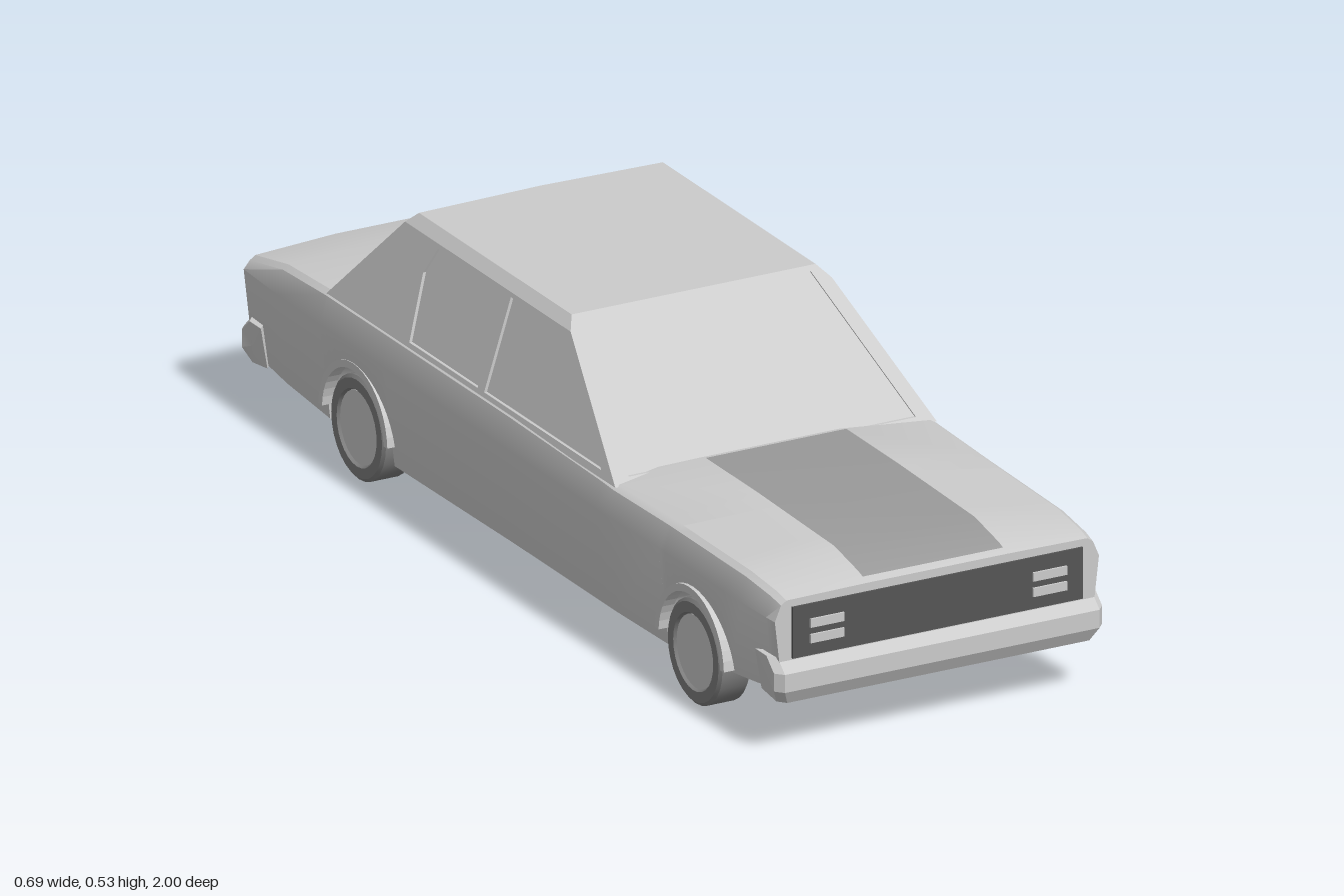
import * as THREE from 'three';
import { toCreasedNormals } from 'three/addons/utils/BufferGeometryUtils.js';

const mat = (color = 0xcccccc) => new THREE.MeshStandardMaterial({ color, side: THREE.DoubleSide });
const GREY = mat(), DARK = mat(0x555555), STRIPE = mat(0x999999), TYRE = mat(0x808080);
const RED = mat(0xcc2222), AMBER = mat(0xcc8811);
const lerp = THREE.MathUtils.lerp;

function add(parent, name, geometry, material = GREY, x = 0, y = 0, z = 0) {
  const mesh = new THREE.Mesh(geometry, material);
  mesh.name = name;
  mesh.position.set(x, y, z);
  parent.add(mesh);
  return mesh;
}

// Skin between successive rings of [x, y, z] points, with optional end caps
function skin(rings, capped = false, crease = 0.5) {
  const pos = [];
  const tri = (...p) => p.forEach((q) => pos.push(...q));
  for (let i = 0; i < rings.length - 1; i++) {
    for (let j = 0; j < rings[i].length - 1; j++) {
      const a = rings[i][j], b = rings[i][j + 1], c = rings[i + 1][j + 1], d = rings[i + 1][j];
      tri(a, d, c);
      tri(a, c, b);
    }
  }
  if (capped) {
    [rings[0], rings[rings.length - 1]].forEach((r, end) => {
      const mid = [0, 1, 2].map((k) => r.reduce((s, p) => s + p[k], 0) / r.length);
      for (let j = 0; j < r.length - 1; j++) end ? tri(mid, r[j + 1], r[j]) : tri(mid, r[j], r[j + 1]);
    });
  }
  const g = new THREE.BufferGeometry();
  g.setAttribute('position', new THREE.Float32BufferAttribute(pos, 3));
  return toCreasedNormals(g, crease);
}

// Body stations: z, floor, sill, deck edge, deck centre, width factor
const STATIONS = [
  [0.98, 0.13, 0.14, 0.3, 0.302, 0.965],
  [0.95, 0.115, 0.12, 0.307, 0.312, 0.97],
  [0.86, 0.1, 0.108, 0.316, 0.33, 0.98],
  [0.58, 0.055, 0.07, 0.318, 0.335, 0.985],
  [0.38, 0.055, 0.07, 0.318, 0.335, 1],
  [0.34, 0.055, 0.07, 0.32, 0.322, 1],
  [0, 0.05, 0.07, 0.325, 0.325, 1],
  [-0.47, 0.045, 0.065, 0.325, 0.328, 1],
  [-0.68, 0.06, 0.075, 0.325, 0.33, 1],
  [-0.85, 0.08, 0.085, 0.315, 0.325, 0.985],
  [-0.985, 0.095, 0.1, 0.285, 0.294, 0.965],
];
const AXLES = [0.68, -0.565], ARCH = 0.118, AXLE_Y = 0.1;

function stationAt(z) {
  let i = 0;
  while (i < STATIONS.length - 2 && z < STATIONS[i + 1][0]) i++;
  const a = STATIONS[i], b = STATIONS[i + 1];
  const t = (a[0] - z) / (a[0] - b[0]);
  return a.map((v, k) => lerp(v, b[k], t));
}

// One closed cross-section; the sill rises over the wheel arches
function section(z, inArch) {
  let [, floor, sill, edge, deck, w] = stationAt(z);
  const axle = AXLES.find((c) => Math.abs(z - c) < ARCH + 1e-6);
  if (inArch && axle !== undefined) {
    sill = Math.max(sill, AXLE_Y + Math.sqrt(Math.max(0, ARCH ** 2 - (z - axle) ** 2)));
  }
  const half = [
    [0.18, floor], [0.262, floor + 0.01], [0.265, sill],
    [lerp(0.324, 0.347, (sill - 0.07) / 0.195) * w, sill],
    [0.347 * w, 0.262], [0.334 * w, edge - 0.008], [0.322 * w, edge], [0.145, deck],
  ];
  const ring = [...half, ...half.map(([x, y]) => [-x, y]).reverse()];
  ring.push(ring[0]);
  return ring.map(([x, y]) => [x, y, z]);
}

function bodyGeometry() {
  const list = STATIONS.map((s) => [s[0], true]);
  for (const c of AXLES) {
    list.push([c + ARCH + 1e-4, false], [c - ARCH - 1e-4, false]);
    for (let i = 0; i <= 10; i++) list.push([c + ARCH * Math.cos((i / 10) * Math.PI), true]);
  }
  list.sort((a, b) => b[0] - a[0]);
  return skin(list.map(([z, arch]) => section(z, arch)), true);
}

// Framed window wall: outline with holes, recessed glass, placed by a rule
function windowWall(parent, name, outline, holes, place) {
  const toShape = (pts) => new THREE.Shape(pts.map(([u, v]) => new THREE.Vector2(u, v)));
  const bend = (g, shift) => {
    const p = g.attributes.position;
    for (let i = 0; i < p.count; i++) p.setXYZ(i, ...place(p.getX(i), p.getY(i), p.getZ(i) + shift));
    g.computeVertexNormals();
    return g;
  };
  const shape = toShape(outline);
  shape.holes = holes.map(toShape);
  const depth = 0.01;
  const group = new THREE.Group();
  group.name = name;
  add(group, name + 'Frame', bend(new THREE.ExtrudeGeometry(shape, { depth, bevelEnabled: false }), -depth));
  holes.forEach((h) => add(group, name + 'Glass', bend(new THREE.ShapeGeometry(toShape(h)), -0.006)));
  parent.add(group);
  return group;
}

// Slopes of the cabin walls
const BASE = 0.315, EAVE = 0.51, TOP = 0.53;
const frontZ = (y) => lerp(0.385, 0.08, (y - BASE) / (TOP - BASE));
const rearZ = (y) => lerp(-0.69, -0.485, (y - BASE) / (TOP - BASE));
const sideX = (y) => lerp(0.332, 0.27, (y - BASE) / (EAVE - BASE));

function buildCabin(car) {
  const cabin = new THREE.Group();
  cabin.name = 'cabin';
  car.add(cabin);
  const end = [[-0.332, BASE], [0.332, BASE], [0.27, EAVE], [0.252, TOP], [-0.252, TOP], [-0.27, EAVE]];
  windowWall(cabin, 'windscreen', end, [[[-0.297, 0.325], [0.297, 0.325], [0.236, 0.522], [-0.236, 0.522]]],
    (u, v, w) => [u, v, frontZ(v) + w]);
  windowWall(cabin, 'rearWindow', end, [[[-0.288, 0.338], [0.288, 0.338], [0.243, 0.52], [-0.243, 0.52]]],
    (u, v, w) => [-u, v, rearZ(v) - w]);

  const wall = [[-frontZ(BASE), BASE], [-rearZ(BASE), BASE], [-rearZ(EAVE), EAVE], [-frontZ(EAVE), EAVE]];
  const doors = [
    [[-0.325, 0.328], [0.108, 0.328], [0.108, 0.502], [-0.085, 0.502]],
    [[0.132, 0.328], [0.385, 0.328], [0.403, 0.45], [0.378, 0.502], [0.132, 0.502]],
  ];
  for (const s of [1, -1]) {
    windowWall(cabin, s > 0 ? 'leftWindows' : 'rightWindows', wall, doors,
      (u, v, w) => [sideX(v) + w, v, -u]).scale.x = s;
  }

  // Roof with chamfered eaves
  const roofRing = (z) => [[0.27, EAVE], [0.252, TOP], [0, TOP + 0.004], [-0.252, TOP], [-0.27, EAVE]]
    .map(([x, y]) => [x, y, z(Math.min(y, TOP))]);
  add(cabin, 'roof', skin([roofRing(frontZ), roofRing(rearZ)]));
}

function buildWheel(car, x, z) {
  const wheel = new THREE.Group();
  wheel.name = 'wheel';
  wheel.position.set(x, AXLE_Y, z);
  wheel.rotation.z = x > 0 ? -Math.PI / 2 : Math.PI / 2;
  const profile = [[0, -0.033], [0.094, -0.033], [0.1, -0.028], [0.1, 0.028], [0.094, 0.033], [0.074, 0.033], [0.07, 0.024]];
  const tyre = new THREE.LatheGeometry(profile.map(([r, y]) => new THREE.Vector2(r, y)), 28);
  add(wheel, 'tyre', toCreasedNormals(tyre, 0.5), TYRE);
  add(wheel, 'hub', new THREE.CylinderGeometry(0.07, 0.07, 0.02, 28), GREY, 0, 0.018, 0);
  car.add(wheel);
}

function archLip() {
  const shape = new THREE.Shape();
  shape.absarc(0, 0, 0.128, 0.05, Math.PI - 0.05, false);
  shape.absarc(0, 0, 0.114, Math.PI - 0.05, 0.05, true);
  return new THREE.ExtrudeGeometry(shape, { depth: 0.025, bevelEnabled: false, curveSegments: 10 });
}

function bumperGeometry() {
  const profile = [[0.985, 0.103], [0.93, 0.11], [0.93, 0.19], [0.972, 0.19], [1, 0.165], [1, 0.13], [0.985, 0.103]];
  const ring = (x, back) => profile.map(([z, y]) => [x * (y < 0.12 ? 0.96 : 1), y, z - back]);
  return skin([ring(0.339, 0.016), ring(0.325, 0), ring(-0.325, 0), ring(-0.339, 0.016)], true, 0.3);
}

export function createModel() {
  const car = new THREE.Group();
  car.name = 'car';
  add(car, 'body', bodyGeometry());
  buildCabin(car);

  // Darker bonnet panel following the deck
  const stripe = [0.965, 0.95, 0.86, 0.58, 0.385].map((z) => {
    const y = stationAt(z)[4] + 0.002;
    return [[0.145, y, z], [-0.145, y, z]];
  });
  add(car, 'bonnetPanel', skin(stripe), STRIPE);

  // Wheels and arch lips
  for (const z of AXLES) {
    for (const s of [1, -1]) {
      buildWheel(car, s * 0.303, z);
      const lip = add(car, 'archLip', archLip(), GREY, s > 0 ? 0.319 : -0.344, AXLE_Y, z);
      lip.rotation.y = Math.PI / 2;
    }
  }

  // Bumpers
  add(car, 'frontBumper', bumperGeometry());
  add(car, 'rearBumper', bumperGeometry(), GREY, 0, -0.018, 0).scale.z = -1;

  // Grille and paired lamps
  const box = (w, h, d) => new THREE.BoxGeometry(w, h, d);
  add(car, 'grille', box(0.6, 0.1, 0.008), DARK, 0, 0.236, 0.98);
  for (const s of [1, -1]) {
    for (const y of [0.249, 0.219]) add(car, 'headlamp', box(0.07, 0.017, 0.008), GREY, s * 0.23, y, 0.984);
    add(car, 'tailLamp', box(0.055, 0.048, 0.008), RED, s * 0.237, 0.222, -0.985);
    add(car, 'indicator', box(0.02, 0.048, 0.008), AMBER, s * 0.275, 0.222, -0.985);
  }

  // Plate surround at the back
  const frame = [[0, 0.226, 0.29, 0.004], [0, 0.182, 0.29, 0.004], [0.143, 0.204, 0.004, 0.044], [-0.143, 0.204, 0.004, 0.044]];
  frame.forEach(([x, y, w, h]) => add(car, 'plateSurround', box(w, h, 0.006), GREY, x, y, -0.986));

  // Exhaust
  add(car, 'exhaust', new THREE.CylinderGeometry(0.01, 0.01, 0.1, 10), TYRE, 0.2, 0.082, -0.93).rotation.x = Math.PI / 2;
  return car;
}
